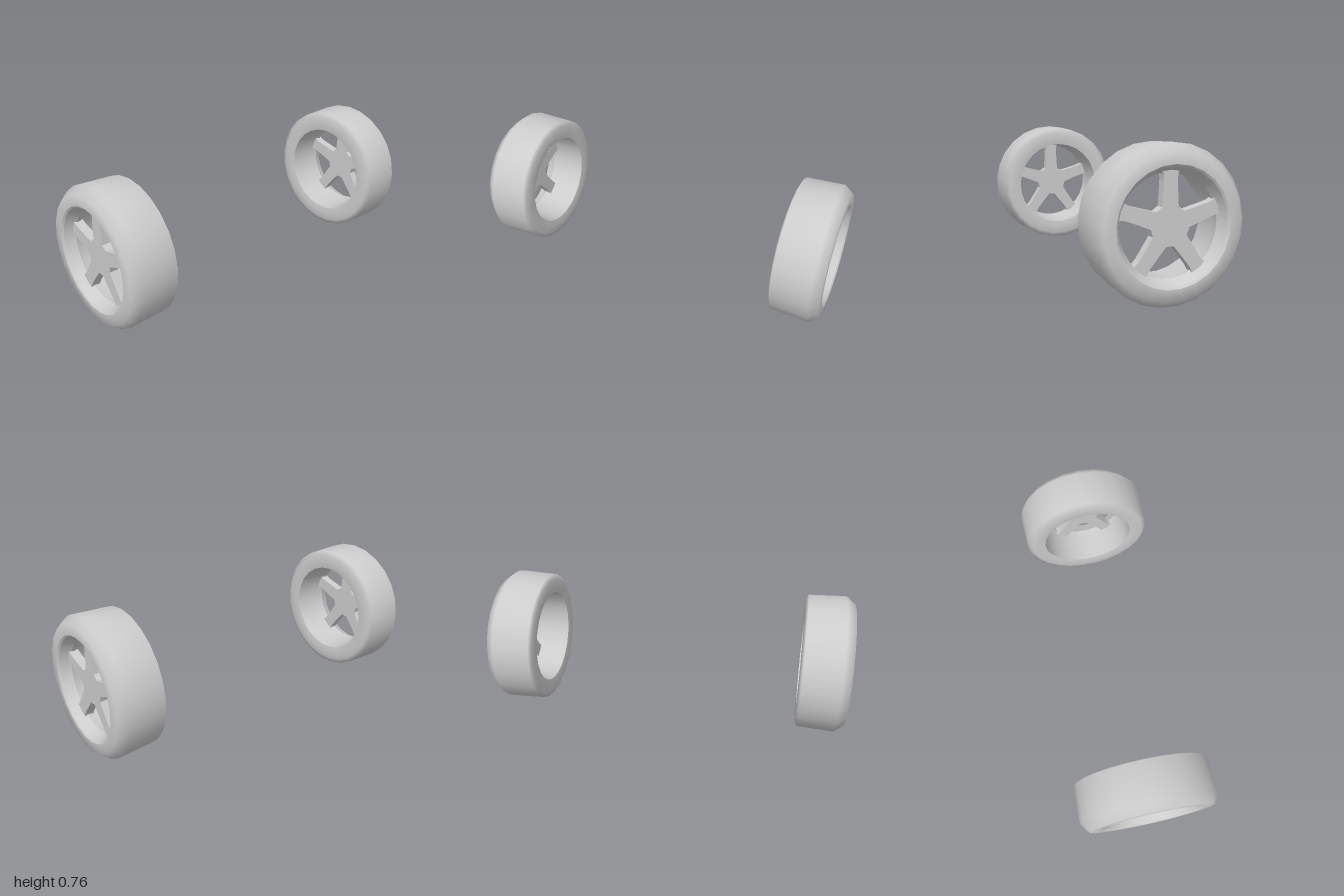
import * as THREE from 'three';

const SIDES = 25;      // facets around each wheel
const AXLE_Y = 0.377;  // height of the wheel centres

const grey = new THREE.MeshStandardMaterial({ color: 0xcccccc });
grey.name = 'grey';

// Surface of revolution about the x axis, from [radius, x] pairs
function ring(name, profile) {
  const geo = new THREE.LatheGeometry(profile.map(([r, x]) => new THREE.Vector2(r, x)), SIDES);
  // Cyclic axis swap: lathe axis y becomes x, and the first facet corner points up
  geo.applyMatrix4(new THREE.Matrix4().set(
    0, 1, 0, 0,
    0, 0, 1, 0,
    1, 0, 0, 0,
    0, 0, 0, 1));
  const mesh = new THREE.Mesh(geo, grey);
  mesh.name = name;
  return mesh;
}

// Hub and five flared spokes as one star-shaped plate
function spokePlate() {
  const half = [[0.088, 0.041], [0.15, 0.037], [0.21, 0.034], [0.235, 0.036], [0.255, 0.042]];
  const edge = [
    ...half.map(([r, w]) => [r, -w]),
    ...half.slice().reverse(),
  ];
  const points = [];
  for (let i = 0; i < 5; i++) {
    const a = Math.PI / 2 + (i * Math.PI * 2) / 5;
    const c = Math.cos(a), s = Math.sin(a);
    for (const [r, w] of edge) points.push(new THREE.Vector2(r * c - w * s, r * s + w * c));
  }
  const geo = new THREE.ExtrudeGeometry(new THREE.Shape(points), { depth: 0.05, bevelEnabled: false });
  geo.translate(0, 0, 0.9);
  geo.rotateY(Math.PI / 2);
  const mesh = new THREE.Mesh(geo, grey);
  mesh.name = 'hubAndSpokes';
  return mesh;
}

// One wheel on the +x side with its face pointing outward
function wheel(name) {
  const group = new THREE.Group();
  group.name = name;
  group.add(
    ring('tyre', [
      [0.266, 0.735], [0.30, 0.73], [0.345, 0.733], [0.372, 0.745],
      [0.38, 0.95], [0.342, 0.999], [0.285, 1.0],
    ]),
    ring('rimLip', [[0.285, 1.0], [0.275, 0.992]]),
    ring('rimSlope', [[0.275, 0.992], [0.262, 0.962], [0.247, 0.935]]),
    ring('rimBarrel', [[0.247, 0.935], [0.255, 0.89], [0.266, 0.735]]),
    spokePlate(),
  );
  group.position.y = AXLE_Y;
  return group;
}

export function createModel() {
  const model = new THREE.Group();
  model.name = 'wheelPair';
  const left = wheel('leftWheel');
  const right = wheel('rightWheel');
  right.rotation.y = Math.PI;
  model.add(left, right);
  return model;
}
